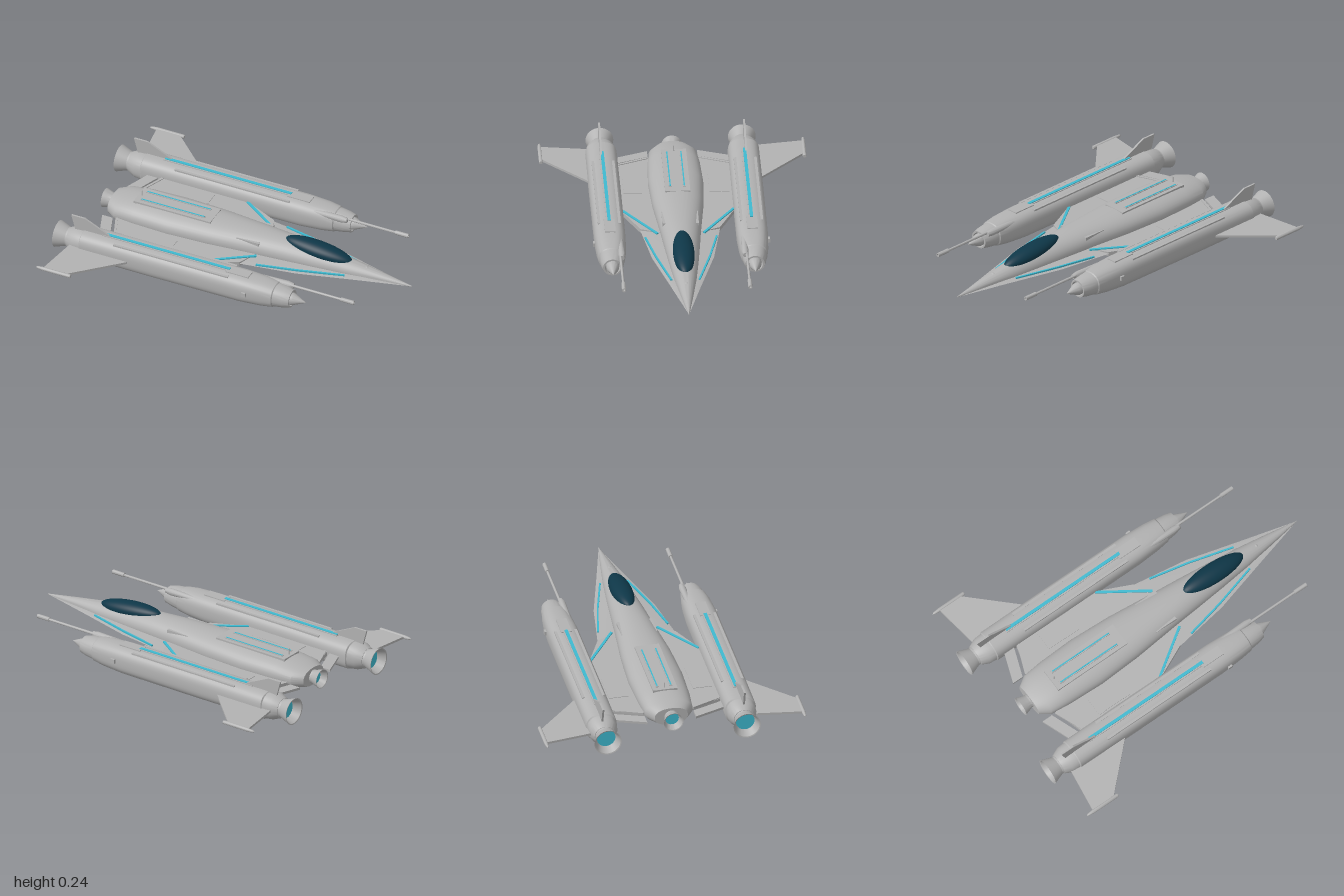
import * as THREE from 'three';
import { toCreasedNormals } from 'three/addons/utils/BufferGeometryUtils.js';

const mat = (name, color) => {
  const m = new THREE.MeshStandardMaterial({ color });
  m.name = name;
  return m;
};

export function createModel() {
  const grey = mat('hull grey', 0xb2b2b2);
  const glass = mat('canopy glass', 0x0e3748);
  const cyan = mat('glow cyan', 0x3fb9cf);
  const root = new THREE.Group();
  root.name = 'starfighter';

  const add = (name, geometry, material = grey, parent = root) => {
    const mesh = new THREE.Mesh(geometry, material);
    mesh.name = name;
    parent.add(mesh);
    return mesh;
  };

  // Superellipse sections along x: [x, centre y, half width, height up, height down, exponent]
  const loft = (stations, z = 0, n = 40) => {
    const pos = [], idx = [];
    const pw = (v, e) => Math.sign(v) * Math.abs(v) ** (2 / e);
    stations.forEach(([x, cy, w, up, down, e = 2]) => {
      for (let j = 0; j < n; j++) {
        const a = (j / n) * Math.PI * 2, s = Math.sin(a);
        pos.push(x, cy + pw(s, e) * (s > 0 ? up : down), z + pw(Math.cos(a), e) * w);
      }
    });
    for (let i = 0; i < stations.length - 1; i++) {
      for (let j = 0; j < n; j++) {
        const a = i * n + j, b = i * n + (j + 1) % n;
        idx.push(a, a + n, b, b, a + n, b + n);
      }
    }
    const g = new THREE.BufferGeometry();
    g.setAttribute('position', new THREE.Float32BufferAttribute(pos, 3));
    g.setIndex(idx);
    return toCreasedNormals(g, 0.5);
  };

  // Round parts: [x, radius] profile turned about the x axis
  const turned = (profile, y, z, n = 32) => loft(profile.map(([x, r]) => [x, y, r, r, r]), z, n);

  // Flat plate from [x, z] outline, centred on height y
  const plate = (pts, y, t) => {
    const shape = new THREE.Shape(pts.map(p => new THREE.Vector2(p[0], p[1])));
    return new THREE.ExtrudeGeometry(shape, { depth: t, bevelEnabled: false })
      .rotateX(Math.PI / 2).translate(0, y + t / 2, 0);
  };

  const box = (x0, x1, y0, y1, z0, z1) =>
    new THREE.BoxGeometry(x1 - x0, y1 - y0, Math.abs(z1 - z0))
      .translate((x0 + x1) / 2, (y0 + y1) / 2, (z0 + z1) / 2);

  // Thin bar between two [x, y, z] points
  const bar = (a, b, w, h) => {
    const p = new THREE.Vector3(...a), q = new THREE.Vector3(...b);
    const g = new THREE.BoxGeometry(w, h, p.distanceTo(q));
    const m = new THREE.Matrix4().lookAt(q, p, new THREE.Vector3(0, 1, 0));
    return g.applyMatrix4(m).translate(...p.add(q).multiplyScalar(0.5).toArray());
  };

  // Fuselage
  add('fuselage', loft([
    [-0.84, 0.105, 0, 0, 0],
    [-0.84, 0.105, 0.095, 0.055, 0.05, 2.3],
    [-0.78, 0.105, 0.135, 0.07, 0.065, 2.3],
    [-0.66, 0.105, 0.147, 0.084, 0.073, 2.3],
    [-0.45, 0.105, 0.155, 0.086, 0.075, 2.3],
    [-0.2, 0.105, 0.143, 0.086, 0.074, 2.3],
    [0.1, 0.102, 0.113, 0.086, 0.067, 2.2],
    [0.25, 0.1, 0.1, 0.083, 0.06, 2.1],
    [0.42, 0.096, 0.084, 0.074, 0.05],
    [0.62, 0.092, 0.062, 0.056, 0.035],
    [0.8, 0.09, 0.035, 0.031, 0.02],
    [1, 0.085, 0.002, 0.004, 0.002],
    [1, 0.085, 0, 0, 0],
  ]));

  // Chine running from the nose into the wings
  add('chine', loft([
    [-0.12, 0.088, 0, 0, 0],
    [-0.12, 0.088, 0.22, 0.014, 0.045, 1.2],
    [0.04, 0.088, 0.223, 0.014, 0.045, 1.2],
    [0.36, 0.088, 0.173, 0.013, 0.04, 1.2],
    [0.7, 0.087, 0.08, 0.012, 0.022, 1.2],
    [1, 0.085, 0, 0, 0, 1.2],
  ]));

  // Canopy
  const canopy = add('canopy', new THREE.SphereGeometry(1, 40, 24).scale(0.205, 0.046, 0.06), glass);
  canopy.position.set(0.425, 0.159, 0);
  canopy.rotation.z = -0.1;

  add('noseSensor', new THREE.SphereGeometry(0.017, 20, 12).translate(0.72, 0.118, 0));
  add('antenna', new THREE.CylinderGeometry(0.002, 0.004, 0.045, 8).translate(-0.67, 0.205, 0));

  // Raised spine panel with its vents
  add('spinePanel', box(-0.69, -0.215, 0.17, 0.193, -0.07, 0.07));
  for (const s of [1, -1]) {
    add('spineVent', box(-0.66, -0.26, 0.188, 0.197, s * 0.031, s * 0.048));
    add('spineGlow', box(-0.655, -0.265, 0.192, 0.199, s * 0.036, s * 0.043), cyan);
    add('shoulderIntake', box(-0.04, 0.1, 0.14, 0.163, s * 0.079, s * 0.102));
  }

  // Engine nozzles: open flared bells with a glowing disc inside
  const nozzle = (name, x, y, z, r, len) => {
    const bell = turned([
      [x + len * 0.7, r * 0.58], [x + 0.002, r * 0.92], [x, r],
      [x + len * 0.3, r * 0.86], [x + len * 0.65, r * 0.7], [x + len, r * 0.78],
    ], y, z);
    add(name, bell);
    add(name + 'Glow', new THREE.CircleGeometry(r * 0.68, 28)
      .rotateY(-Math.PI / 2).translate(x + len * 0.5, y, z), cyan);
  };
  nozzle('mainNozzle', -0.9, 0.105, 0, 0.056, 0.08);

  for (const s of [1, -1]) {
    const side = pts => pts.map(([x, z]) => [x, z * s]);
    const Z = 0.398 * s;

    // Inner wing, trailing flap and access panel
    add('innerWing', plate(side([[-0.77, 0.08], [-0.7, 0.33], [-0.18, 0.33], [-0.15, 0.31],
      [0.04, 0.222], [0.1, 0.08]]), 0.086, 0.024));
    add('flap', plate(side([[-0.85, 0.14], [-0.785, 0.14], [-0.72, 0.315], [-0.785, 0.315]]), 0.086, 0.014));
    add('flapHinge', bar([-0.76, 0.096, 0.14 * s], [-0.69, 0.096, 0.315 * s], 0.014, 0.012));
    add('wingPanel', box(-0.57, -0.36, 0.096, 0.101, 0.185 * s, 0.295 * s));

    // Glowing leading edge lines
    add('wingGlow', bar([-0.165, 0.1, 0.31 * s], [0.1, 0.1, 0.13 * s], 0.014, 0.008), cyan);
    add('chineGlow', bar([0.13, 0.094, 0.2 * s], [0.36, 0.095, 0.15 * s], 0.01, 0.009), cyan);
    add('chineGlow', bar([0.36, 0.095, 0.15 * s], [0.62, 0.094, 0.078 * s], 0.01, 0.009), cyan);

    // Engine nacelle with open inlet and centre spike
    add('nacelle', loft([
      [-0.925, 0.087, 0, 0, 0],
      [-0.925, 0.087, 0.06, 0.058, 0.058],
      [-0.88, 0.087, 0.08, 0.075, 0.075, 2.2],
      [-0.835, 0.087, 0.083, 0.078, 0.078, 2.4],
      [-0.83, 0.087, 0.088, 0.082, 0.081, 2.7],
      [-0.4, 0.087, 0.089, 0.083, 0.082, 2.8],
      [0.15, 0.087, 0.088, 0.082, 0.08, 2.8],
      [0.28, 0.088, 0.082, 0.077, 0.074, 2.6],
      [0.35, 0.088, 0.074, 0.069, 0.066, 2.4],
      [0.355, 0.088, 0.069, 0.065, 0.062, 2.3],
      [0.41, 0.088, 0.064, 0.06, 0.057, 2.1],
      [0.45, 0.088, 0.054, 0.051, 0.05],
      [0.45, 0.088, 0.044, 0.042, 0.042],
      [0.42, 0.088, 0.04, 0.04, 0.04],
      [0.42, 0.088, 0, 0, 0],
    ], Z, 48));
    add('inletSpike', turned([[0.4, 0.035], [0.45, 0.036], [0.465, 0.032], [0.535, 0]], 0.088, Z));
    nozzle('nacelleNozzle', -1, 0.087, Z, 0.078, 0.1);

    // Nacelle spine, glow line and surface plates
    add('nacelleSpine', box(-0.72, 0.07, 0.155, 0.173, Z - 0.017, Z + 0.017));
    add('nacelleGlow', box(-0.715, 0.065, 0.168, 0.177, Z - 0.009, Z + 0.009), cyan);
    add('spineCap', box(0.05, 0.19, 0.152, 0.173, Z - 0.03, Z + 0.03));
    add('innerStrip', box(-0.63, 0.08, 0.145, 0.164, 0.333 * s, 0.348 * s));
    add('outerStrip', box(-0.63, 0.08, 0.145, 0.164, 0.447 * s, 0.462 * s));
    add('sideStub', box(0.177, 0.203, 0.082, 0.106, 0.475 * s, 0.495 * s));

    // Cannon in its fairing
    add('cannonFairing', turned([[0.1, 0], [0.16, 0.014], [0.4, 0.02], [0.435, 0.014], [0.435, 0]],
      0.138, 0.345 * s, 20));
    add('cannon', turned([[0.36, 0.008], [0.73, 0.007], [0.73, 0.012], [0.81, 0.012], [0.81, 0.006],
      [0.79, 0.006], [0.79, 0]], 0.143, 0.353 * s, 16));

    // Outer wing with tip pod
    add('outerWing', plate(side([[-0.89, 0.46], [-0.5, 0.46], [-0.53, 0.485], [-0.79, 0.735], [-0.93, 0.735]]),
      0.086, 0.013));
    add('tipPod', turned([[-0.975, 0], [-0.965, 0.007], [-0.93, 0.011], [-0.765, 0.011], [-0.76, 0.009], [-0.76, 0]],
      0.086, 0.737 * s, 16));

    // Upright tail fin
    const fin = new THREE.Shape([[-0.885, 0.15], [-0.64, 0.15], [-0.68, 0.178], [-0.83, 0.248], [-0.912, 0.248]]
      .map(p => new THREE.Vector2(...p)));
    add('tailFin', new THREE.ExtrudeGeometry(fin, { depth: 0.011, bevelEnabled: false })
      .translate(0, 0, 0.405 * s - 0.0055));
  }
  return root;
}
